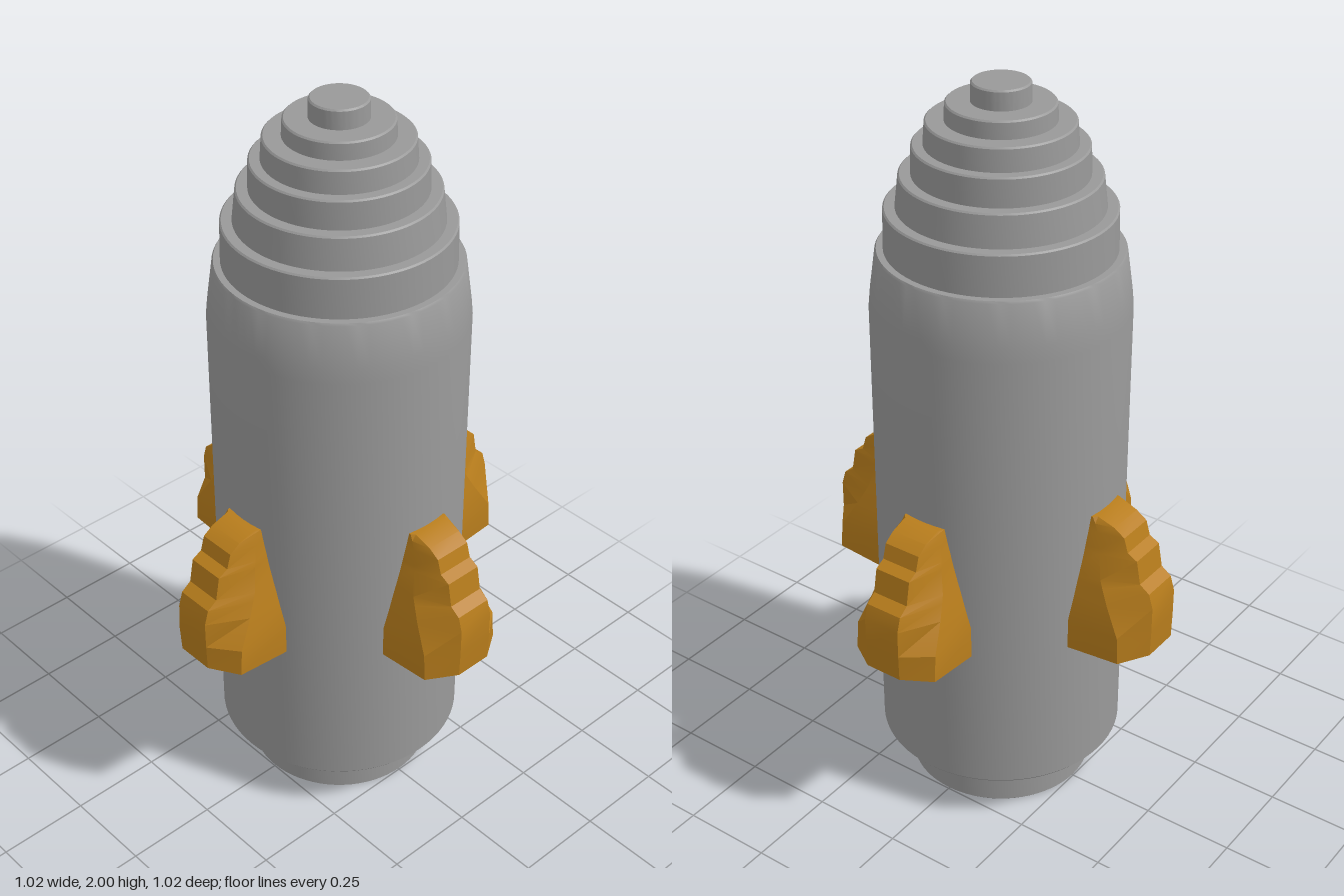
import * as THREE from 'three';
import { toCreasedNormals } from 'three/addons/utils/BufferGeometryUtils.js';

const grey = new THREE.MeshStandardMaterial({ color: 0x999999 });
grey.name = 'hullGrey';
const gold = new THREE.MeshStandardMaterial({ color: 0xb87d1c });
gold.name = 'finGold';

// Turned part from [radius, height] points, with sharp rims
function turned(name, profile) {
  const points = profile.map(([r, y]) => new THREE.Vector2(r, y));
  const mesh = new THREE.Mesh(toCreasedNormals(new THREE.LatheGeometry(points, 72), 0.6), grey);
  mesh.name = name;
  return mesh;
}

// Fin pointing to +z, lofted through horizontal sections:
// [height, half width, reach, radius where the chamfer starts]
function finGeometry() {
  const root = 0.28;
  const levels = [
    [0.565, 0.127, 0.51, 0.46], [0.645, 0.126, 0.512, 0.455], [0.72, 0.109, 0.512, 0.41],
    [0.76, 0.1, 0.5, 0.39], [0.78, 0.095, 0.472, 0.38], [0.845, 0.08, 0.46, 0.365],
    [0.86, 0.077, 0.432, 0.36], [0.9, 0.068, 0.42, 0.35], [0.92, 0.064, 0.39, 0.34],
    [0.935, 0.061, 0.34, 0.33],
  ];
  const positions = [], index = [], n = 6;
  levels.forEach(([y, w, reach, chamfer], k) => {
    const s = 0.052;
    const section = [[-w, root], [-w, chamfer], [-s, reach], [s, reach], [w, chamfer], [w, root]];
    for (const [x, z] of section) {
      // The underside rises slightly towards the tip
      const tilt = k === 0 ? (z - 0.42) * 0.09 : 0;
      positions.push(x, y + tilt, z);
    }
  });
  for (let k = 0; k < levels.length - 1; k++) {
    for (let i = 0; i < n; i++) {
      const a = k * n + i, b = k * n + (i + 1) % n;
      index.push(a, b, b + n, a, b + n, a + n);
    }
  }
  // Caps
  const top = (levels.length - 1) * n;
  for (let i = 1; i < n - 1; i++) {
    index.push(0, i + 1, i);
    index.push(top, top + i, top + i + 1);
  }
  const geometry = new THREE.BufferGeometry();
  geometry.setAttribute('position', new THREE.Float32BufferAttribute(positions, 3));
  geometry.setIndex(index);
  return toCreasedNormals(geometry, 0.4);
}

export function createModel() {
  const model = new THREE.Group();
  model.name = 'rocket';

  // Hollow nozzle with a narrower inner throat
  model.add(turned('nozzle', [
    [0, 0.26], [0.13, 0.26], [0.13, 0.14], [0.18, 0.14], [0.18, 0.005],
    [0.185, 0], [0.245, 0], [0.25, 0.005], [0.25, 0.14],
  ]));

  // Hull with tapered shoulder
  model.add(turned('hull', [
    [0.24, 0.135], [0.325, 0.135], [0.331, 0.142], [0.331, 1.42],
    [0.327, 1.46], [0.312, 1.57], [0.308, 1.576], [0.27, 1.576],
  ]));

  // Stepped nose: [bottom radius, top radius, top height]
  const nose = [[0.27, 1.57]];
  const steps = [
    [0.291, 0.289, 1.685], [0.259, 0.25, 1.77], [0.219, 0.217, 1.845],
    [0.188, 0.184, 1.905], [0.137, 0.135, 1.95], [0.074, 0.073, 2],
  ];
  let y = 1.572;
  for (const [bottom, tip, height] of steps) {
    nose.push([bottom, y], [tip, height - 0.004], [tip - 0.004, height]);
    y = height;
  }
  nose.push([0, 2]);
  model.add(turned('steppedNose', nose));

  // Four fins
  const geometry = finGeometry();
  ['frontFin', 'leftFin', 'backFin', 'rightFin'].forEach((name, i) => {
    const fin = new THREE.Mesh(geometry, gold);
    fin.name = name;
    fin.rotation.y = i * Math.PI / 2;
    model.add(fin);
  });

  return model;
}
